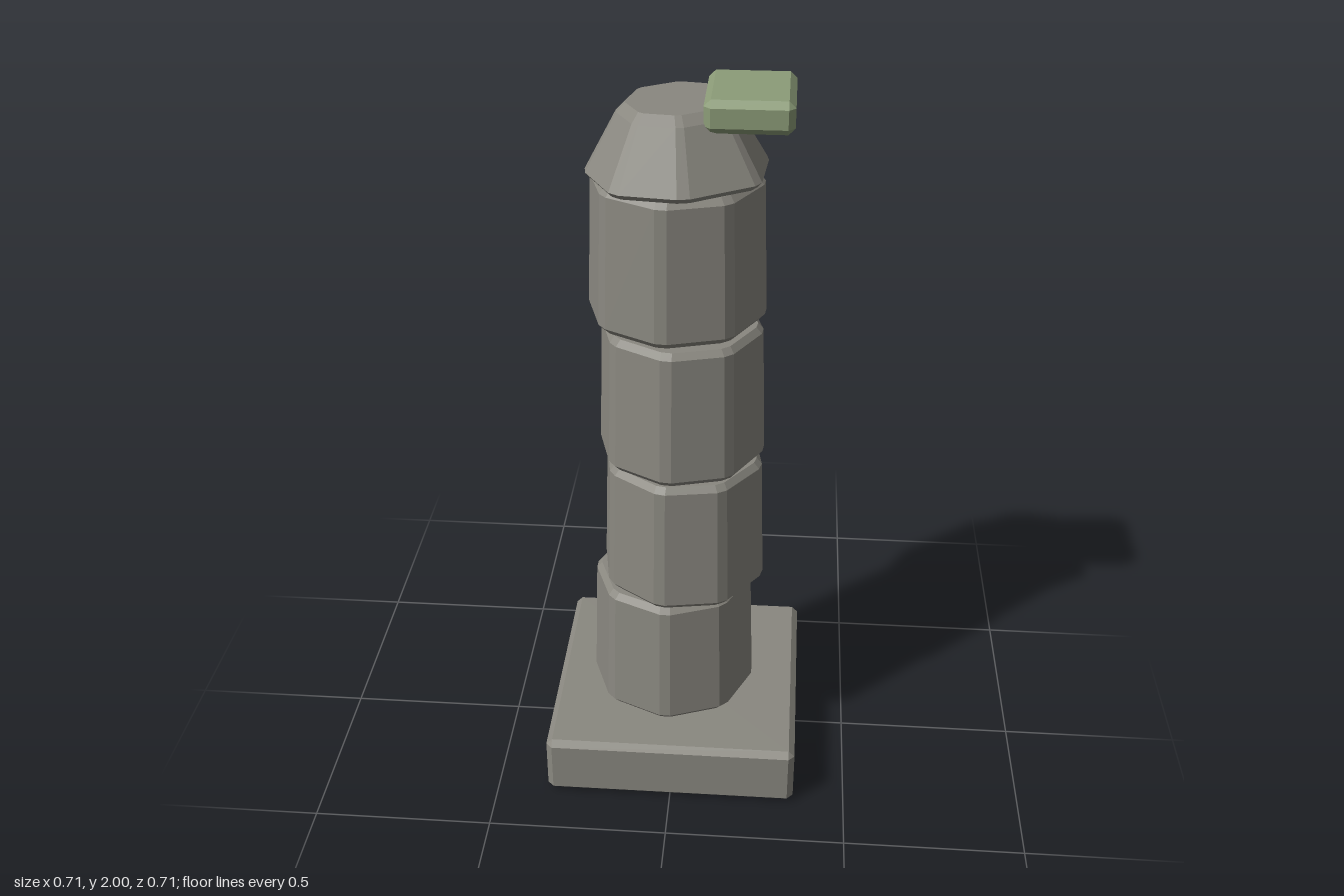
import * as THREE from 'three';

const stone = new THREE.MeshStandardMaterial({ color: 0x8a8880, flatShading: true });
stone.name = 'stone';
const moss = new THREE.MeshStandardMaterial({ color: 0x8c9c78, flatShading: true });
moss.name = 'moss';

// Cut each corner of an outline, giving two points per corner
function cutCorners(corners, cut) {
  const pts = corners.map((c) => new THREE.Vector2(c[0], c[1]));
  const n = pts.length;
  return pts.flatMap((p, i) =>
    [pts[(i + n - 1) % n], pts[(i + 1) % n]].map((q) =>
      p.clone().add(q.clone().sub(p).setLength(cut))));
}

// Closed solid through stacked outlines; each ring is { y, pts }
function loft(rings) {
  const pos = [];
  const n = rings[0].pts.length;
  const put = (r, i) => pos.push(r.pts[i % n].x, r.y, r.pts[i % n].y);
  for (let k = 0; k < rings.length - 1; k++) {
    const a = rings[k], b = rings[k + 1];
    for (let i = 0; i < n; i++) {
      put(a, i); put(b, i); put(a, i + 1);
      put(a, i + 1); put(b, i); put(b, i + 1);
    }
  }
  const low = rings[0], high = rings[rings.length - 1];
  for (let i = 1; i < n - 1; i++) {
    put(low, 0); put(low, i); put(low, i + 1);
    put(high, 0); put(high, i + 1); put(high, i);
  }
  const geo = new THREE.BufferGeometry();
  geo.setAttribute('position', new THREE.Float32BufferAttribute(pos, 3));
  geo.computeVertexNormals();
  return geo;
}

// Box with flat chamfers on every edge
function slab(w, h, d, b) {
  const x = w / 2, z = d / 2;
  const rect = (px, pz) => [[px, pz], [-px, pz], [-px, -pz], [px, -pz]];
  const outer = cutCorners(rect(x, z), b);
  const inner = rect(x - b, z - b).flatMap((c) => {
    const p = new THREE.Vector2(c[0], c[1]);
    return [p, p];
  });
  return loft([
    { y: 0, pts: inner }, { y: b, pts: outer },
    { y: h - b, pts: outer }, { y: h, pts: inner },
  ]);
}

// Tapered stone with bevelled rims; corners outline the widest ring
function block(corners, cut, profile) {
  const outline = cutCorners(corners, cut);
  return loft(profile.map(([y, s, dx = 0, dz = 0]) => ({
    y, pts: outline.map((p) => new THREE.Vector2(p.x * s + dx, p.y * s + dz)),
  })));
}

export function createModel() {
  const group = new THREE.Group();
  const add = (name, geo, mat, x, y, z) => {
    const mesh = new THREE.Mesh(geo, mat);
    mesh.name = name;
    mesh.position.set(x, y, z);
    group.add(mesh);
  };

  add('basePlinth', slab(0.71, 0.18, 0.71, 0.017), stone, 0, 0, 0);

  // Four eight-sided drums, each shifted and turned a little
  const drums = [
    [-0.015, 0.18, -0.002, 2],
    [0.015, 0.582, 0.012, 13],
    [0.01, 0.984, 0.015, 7],
    [-0.005, 1.383, -0.012, 6],
  ];
  const radii = [0.241, 0.237, 0.232, 0.241];
  drums.forEach(([x, y, z, turn], k) => {
    const corners = Array.from({ length: 8 }, (_, i) => {
      const a = THREE.MathUtils.degToRad(turn + i * 45);
      return [Math.cos(a) * radii[k], Math.sin(a) * radii[k]];
    });
    const profile = [[0, 0.93], [0.018, 1], [0.373, 0.95], [0.39, 0.885]];
    add('columnDrum' + (k + 1), block(corners, 0.017, profile), stone, x, y, z);
  });

  // Worn, uneven top stone
  const capCorners = [
    [0.21, 0.13], [0.03, 0.243], [-0.145, 0.222], [-0.234, 0.065],
    [-0.186, -0.135], [-0.005, -0.247], [0.145, -0.225], [0.225, -0.06],
  ];
  const capProfile = [[0, 0.95], [0.014, 1], [0.158, 0.64, -0.005, -0.005], [0.18, 0.53, -0.008, -0.005]];
  add('brokenTop', block(capCorners, 0.017, capProfile), stone, 0, 1.782, 0);

  // Moss slab overhanging the top
  add('mossPatch', slab(0.22, 0.083, 0.265, 0.017), moss, 0.177, 1.917, -0.002);

  return group;
}
